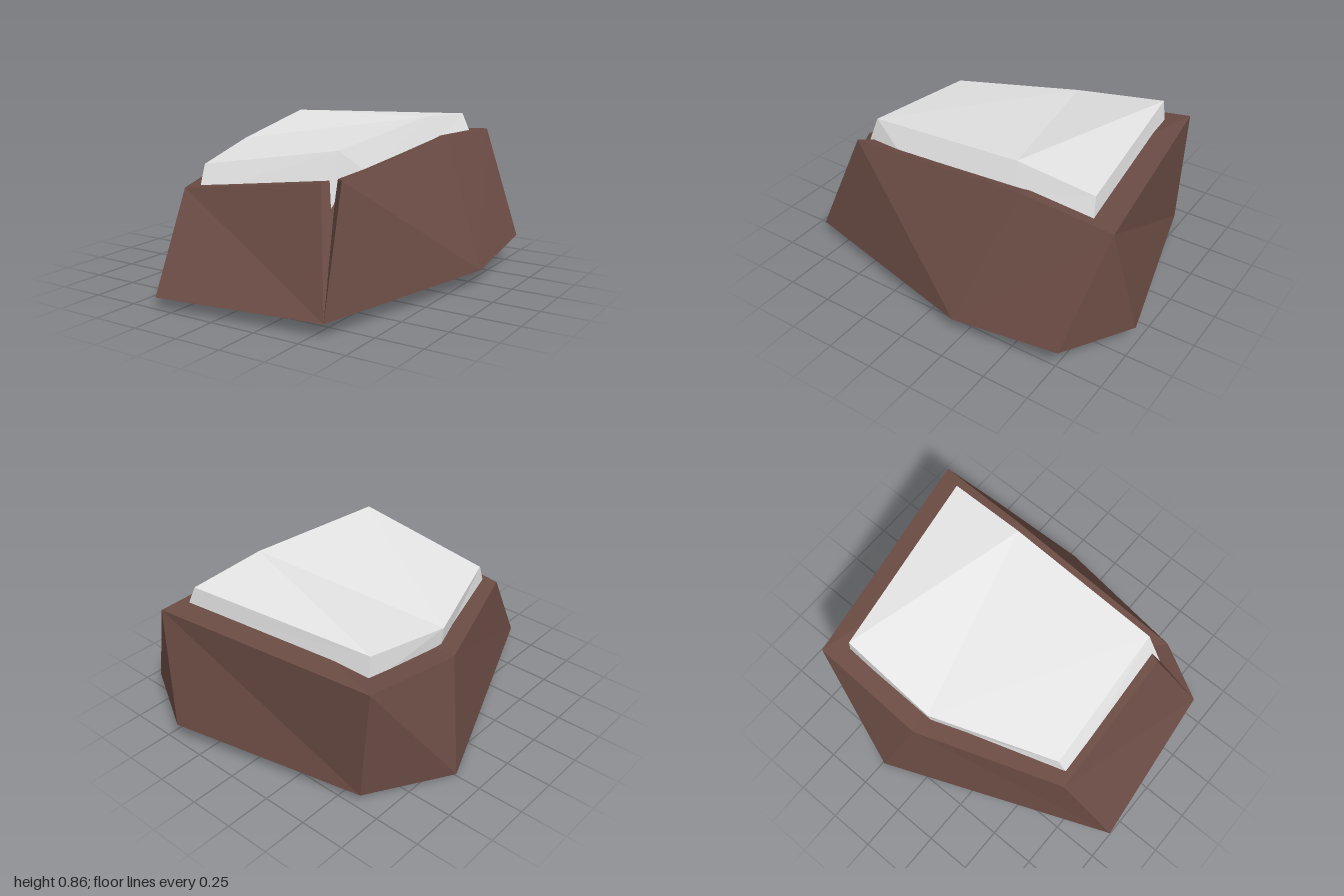
import * as THREE from 'three';

// Builds a faceted mesh from named corner points; each face is a list of names, counterclockwise
function faceted(name, points, faces, material) {
  const positions = [];
  for (const face of faces) {
    const corners = face.split(' ');
    for (let i = 1; i < corners.length - 1; i++) {
      positions.push(...points[corners[0]], ...points[corners[i]], ...points[corners[i + 1]]);
    }
  }
  const geometry = new THREE.BufferGeometry();
  geometry.setAttribute('position', new THREE.Float32BufferAttribute(positions, 3));
  geometry.computeVertexNormals();
  const mesh = new THREE.Mesh(geometry, material);
  mesh.name = name;
  return mesh;
}

export function createModel() {
  const brown = new THREE.MeshStandardMaterial({ color: 0x6b4c44, flatShading: true });
  brown.name = 'brown rock';
  const white = new THREE.MeshStandardMaterial({ color: 0xf0f0f0, flatShading: true });
  white.name = 'white snow';

  // Rock: seven foot corners (capitals), a smaller rim (lower case), notch is the cleft in one corner
  const rock = {
    A: [-0.35, 0.06, 1.0], B: [0.57, 0.075, 0.9], C: [0.84, 0.09, -0.2], D: [0.8, 0.145, -0.79],
    E: [0.41, 0.115, -1.0], F: [-0.62, 0.05, -0.72], G: [-0.85, 0, -0.24],
    a: [-0.41, 0.55, 0.69], b1: [0.4, 0.66, 0.66], notch: [0.43, 0.67, 0.57], b2: [0.505, 0.68, 0.645],
    c: [0.525, 0.75, -0.4], d: [0.54, 0.73, -0.91], f: [-0.68, 0.69, -0.72], g: [-0.69, 0.58, -0.09],
  };
  const rockFaces = [
    // underside
    'G F E D C B A',
    // sides
    'A B a', 'B b1 a', 'B notch b1', 'B b2 notch', 'B C b2', 'C c b2', 'C d c', 'C D d',
    'D E d', 'E F d', 'F f d', 'F G f', 'G g f', 'G A g', 'A a g',
    // top
    'c d f', 'c f g', 'g notch c', 'notch b2 c', 'g a notch', 'a b1 notch',
  ];

  // Snow: upper corners (capitals) and a wider lower edge sunk in the rock, tip runs down the cleft
  const snow = {
    A: [-0.35, 0.665, 0.6], B: [0.43, 0.8, 0.56], C: [0.44, 0.86, -0.32],
    D: [0.45, 0.83, -0.76], F: [-0.58, 0.795, -0.6], G: [-0.595, 0.69, -0.06],
    a: [-0.34, 0.52, 0.665], b: [0.405, 0.63, 0.625], tip: [0.46, 0.47, 0.685], r: [0.48, 0.67, 0.37],
    c: [0.49, 0.71, -0.34], d: [0.5, 0.7, -0.78], f: [-0.58, 0.64, -0.62], g: [-0.58, 0.55, -0.06],
  };
  const snowFaces = [
    // top
    'C D F', 'C F G', 'G B C', 'G A B',
    // edge
    'a b B A', 'b tip B', 'tip r B', 'r c C B', 'c d D C', 'd f F D', 'f g G F', 'g a A G',
    // underside
    'r tip b', 'g f d c r b a',
  ];

  const group = new THREE.Group();
  group.name = 'snowyRock';
  group.add(faceted('rock', rock, rockFaces, brown), faceted('snowCap', snow, snowFaces, white));
  return group;
}
